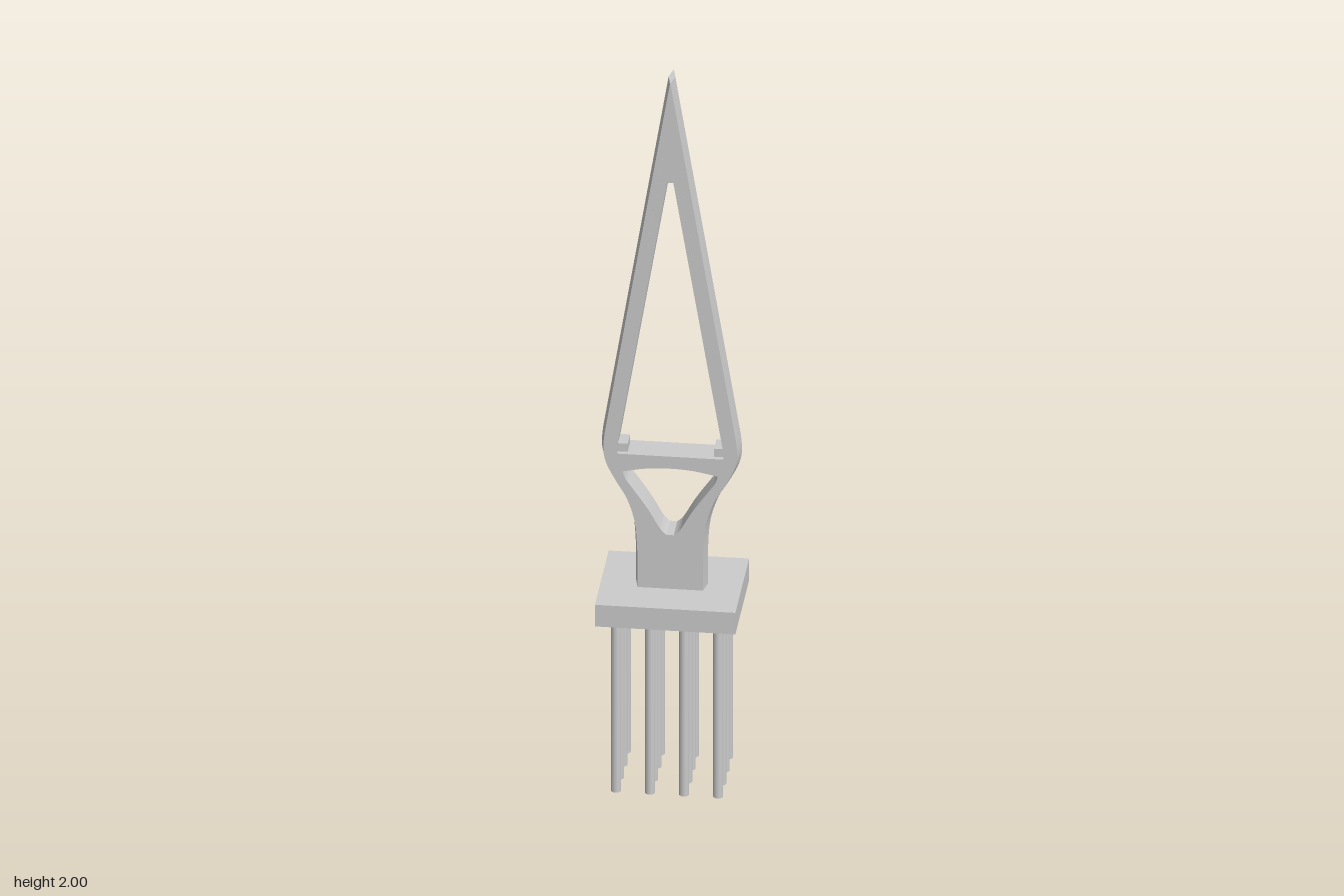
import * as THREE from 'three';
import { toCreasedNormals } from 'three/addons/utils/BufferGeometryUtils.js';

const DEPTH = 0.076, RIDGE = 0.008;
const material = new THREE.MeshStandardMaterial({ color: 0xcccccc });
const points = list => list.map(([x, y]) => new THREE.Vector2(x, y));
const mirrored = list => [...list, ...list.map(p => new THREE.Vector2(-p.x, p.y)).reverse()];
const smooth = (list, n) => new THREE.SplineCurve(points(list)).getPoints(n);

function add(parent, name, geometry, x = 0, y = 0, z = 0) {
  const mesh = new THREE.Mesh(geometry, material);
  mesh.name = name;
  mesh.position.set(x, y, z);
  parent.add(mesh);
  return mesh;
}

// Tower outline with two openings; the outer sides are drawn out to a central ridge
function towerGeometry() {
  const side = [
    ...points([[0.083, 0.55]]),
    ...smooth([[0.083, 0.64], [0.089, 0.73], [0.109, 0.8], [0.137, 0.85], [0.162, 0.9], [0.17, 0.94], [0.167, 0.985]], 28),
    ...points([[0.0005, 2]]),
  ];
  const outline = mirrored(side);
  const shape = new THREE.Shape(outline);

  // Tall triangular opening between the legs
  shape.holes.push(new THREE.Path(mirrored(points([[0.135, 0.93], [0.135, 0.95], [0.008, 1.715]]))));

  // Lower opening, under the slightly arched crossbeam
  const lower = smooth([[0.009, 0.705], [0.026, 0.722], [0.056, 0.775], [0.095, 0.832], [0.113, 0.858], [0.121, 0.88]], 16);
  const arch = smooth([[0.121, 0.88], [0.06, 0.892], [0, 0.896]], 8).slice(1, -1);
  shape.holes.push(new THREE.Path(mirrored([...lower, ...arch])));

  const geometry = new THREE.ExtrudeGeometry(shape, { depth: DEPTH, steps: 2, bevelEnabled: false });
  geometry.translate(0, 0, -DEPTH / 2);
  const pos = geometry.attributes.position;
  for (let i = 0; i < pos.count; i++) {
    if (Math.abs(pos.getZ(i)) > 0.001) continue;
    const x = pos.getX(i), y = pos.getY(i);
    if (outline.some(p => Math.hypot(p.x - x, p.y - y) < 1e-5)) pos.setX(i, x + Math.sign(x) * RIDGE);
  }
  return toCreasedNormals(geometry, 0.15);
}

export function createModel() {
  const model = new THREE.Group();
  model.name = 'bridgeTower';

  add(model, 'tower', towerGeometry());

  // Bearing blocks on the crossbeam and cable anchors up the legs
  const anchor = new THREE.CylinderGeometry(0.0025, 0.0025, DEPTH + 0.002, 8).rotateX(Math.PI / 2);
  for (const s of [-1, 1]) {
    add(model, 'bearingBlock', new THREE.BoxGeometry(0.027, 0.024, 0.05), s * 0.123, 0.941);
    for (let i = 0; i < 8; i++) {
      const t = i / 7;
      add(model, 'cableAnchor', anchor, s * (0.056 - 0.036 * t), 1.53 + 0.25 * t);
    }
  }

  // Foundation slab on a four by four grid of piles
  add(model, 'pileCap', new THREE.BoxGeometry(0.357, 0.062, 0.29), 0, 0.52);
  const piles = new THREE.Group();
  piles.name = 'piles';
  model.add(piles);
  const pile = toCreasedNormals(new THREE.CylinderGeometry(0.0125, 0.0125, 0.49, 20), 0.6);
  for (let i = 0; i < 4; i++) {
    for (let j = 0; j < 4; j++) {
      add(piles, 'pile', pile, (i - 1.5) * 0.0865, 0.245, (j - 1.5) * 0.0695);
    }
  }
  return model;
}
